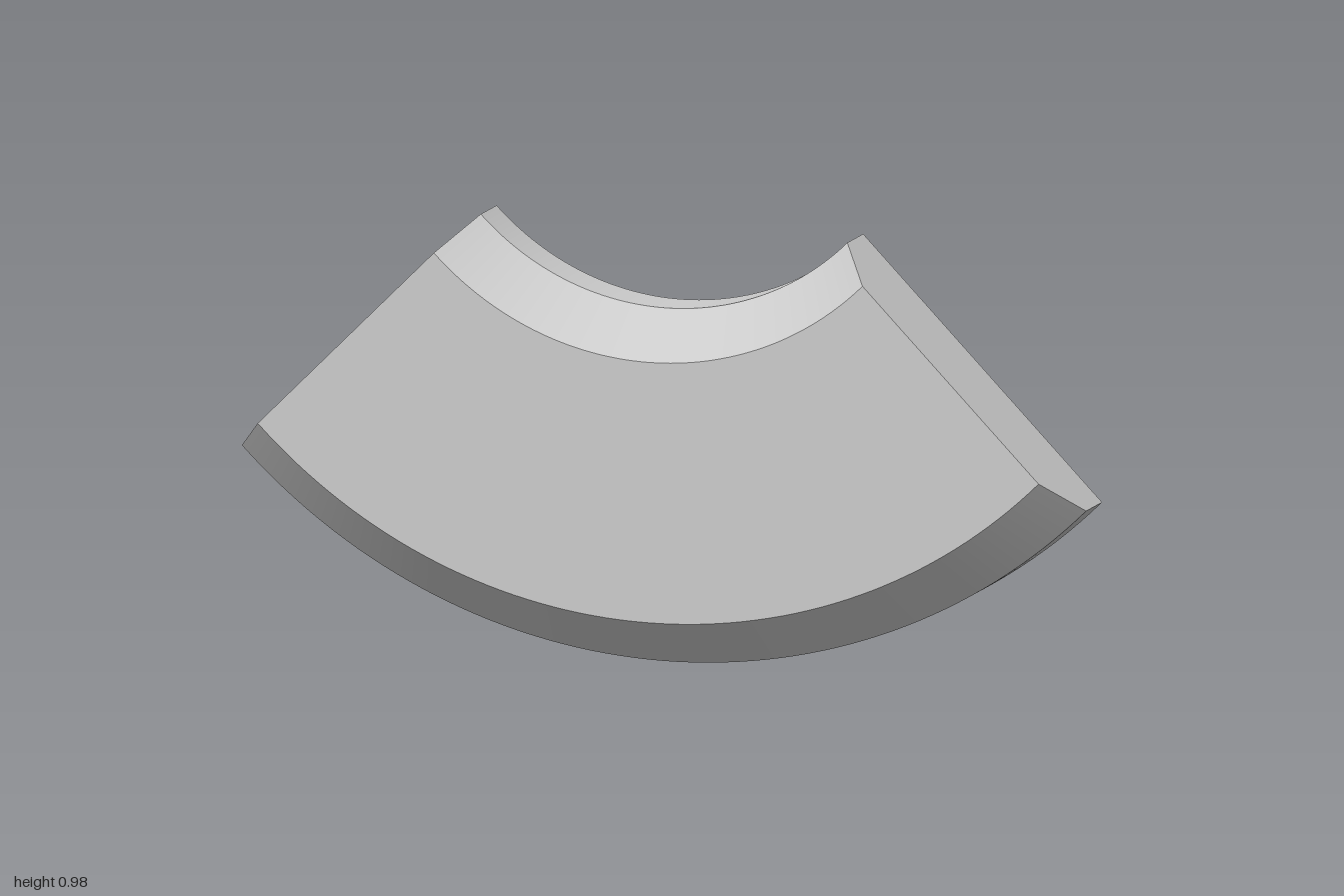
import * as THREE from 'three';

// Cross-section of the ring as [radius, z], counterclockwise
const OUTER = Math.SQRT2, INNER = 0.614, HALF_ANGLE = Math.PI / 4, SEGMENTS = 64;
const PROFILE = [
  [OUTER, -0.1], [OUTER, 0], [1.308, 0.1],
  [0.718, 0.1], [INNER, 0], [INNER, -0.1],
].map(([r, z]) => new THREE.Vector2(r, z));
const FACE_NAMES = ['outerRim', 'outerBevel', 'frontFace', 'innerBevel', 'innerRim', 'backFace'];

export function createModel() {
  const group = new THREE.Group();
  group.name = 'ringSegment';
  const material = new THREE.MeshStandardMaterial({ color: 0xcccccc });

  const add = (name, geometry) => {
    const mesh = new THREE.Mesh(geometry, material);
    mesh.name = name;
    mesh.position.y = OUTER; // arc centre
    group.add(mesh);
  };

  // One swept strip per profile edge: smooth around the arc, sharp between strips
  FACE_NAMES.forEach((name, i) => {
    const edge = [PROFILE[i], PROFILE[(i + 1) % PROFILE.length]];
    const strip = new THREE.LatheGeometry(edge, SEGMENTS, -HALF_ANGLE, 2 * HALF_ANGLE);
    add(name, strip.rotateX(Math.PI / 2));
  });

  // Flat caps on the two cut ends, each facing away from the segment
  for (const side of [-1, 1]) {
    const shape = new THREE.Shape(PROFILE.map((p) => new THREE.Vector2(p.x, -side * p.y)));
    const radial = new THREE.Vector3(side * Math.sin(HALF_ANGLE), -Math.cos(HALF_ANGLE), 0);
    const across = new THREE.Vector3(0, 0, -side);
    const normal = radial.clone().cross(across);
    const cap = new THREE.ShapeGeometry(shape);
    cap.applyMatrix4(new THREE.Matrix4().makeBasis(radial, across, normal));
    add(side > 0 ? 'leftEnd' : 'rightEnd', cap);
  }

  return group;
}
